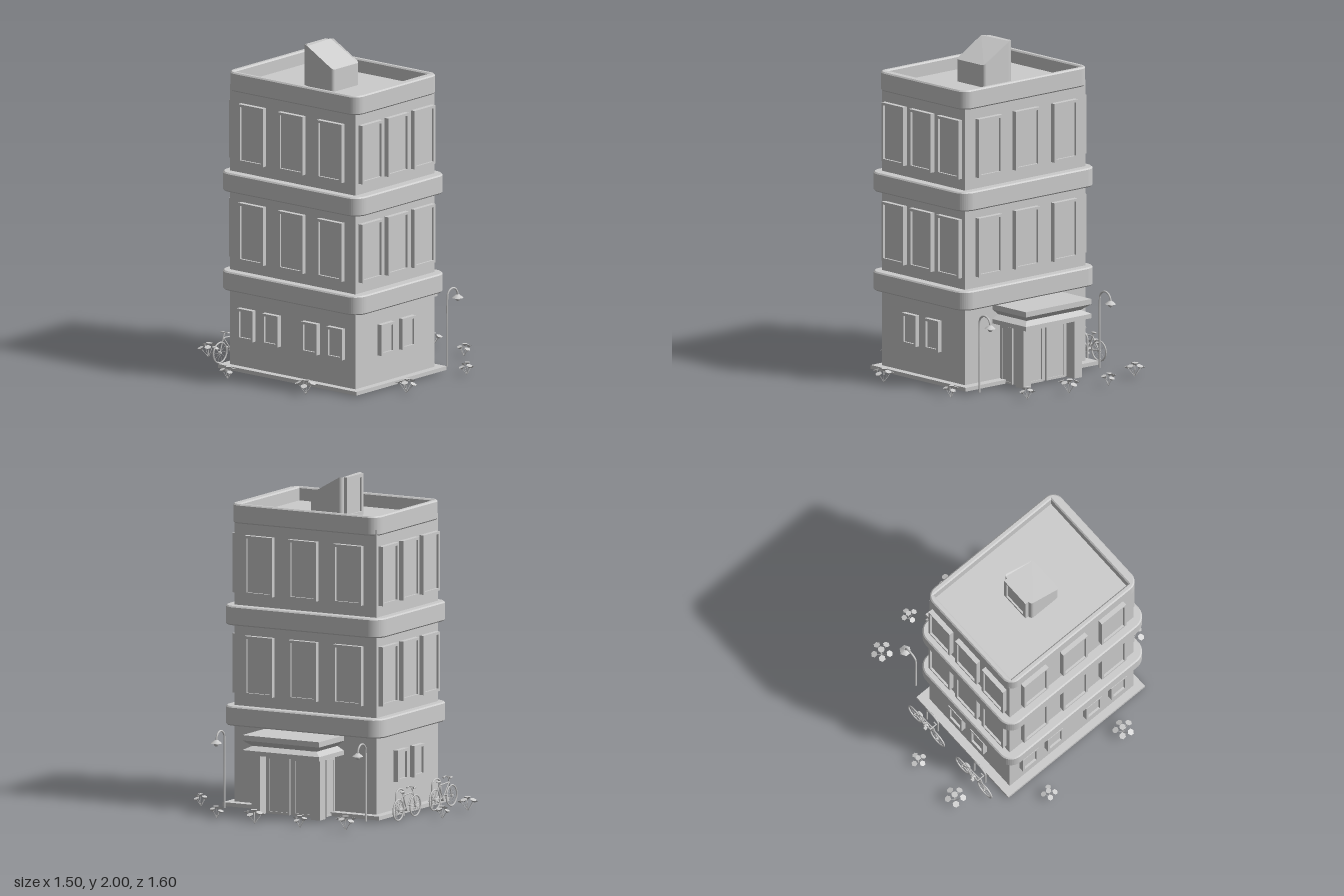
import * as THREE from 'three';

const stone = new THREE.MeshStandardMaterial({ color: 0xcccccc, side: THREE.DoubleSide });
stone.name = 'light grey';

const XL = -0.513, XR = 0.217, ZB = -0.445, ZF = 0.53; // main walls
const V = (x, y, z) => new THREE.Vector3(x, y, z);

function add(parent, name, geo) {
  const mesh = new THREE.Mesh(geo, stone);
  mesh.name = name;
  parent.add(mesh);
  return mesh;
}

// Box given by its limits
function box(parent, name, x0, x1, y0, y1, z0, z1) {
  const g = new THREE.BoxGeometry(x1 - x0, y1 - y0, z1 - z0);
  return add(parent, name, g.translate((x0 + x1) / 2, (y0 + y1) / 2, (z0 + z1) / 2));
}

// Round rod between two points
function rod(parent, name, a, b, r, sides = 6) {
  const g = new THREE.CylinderGeometry(r, r, a.distanceTo(b), sides);
  const m = add(parent, name, g);
  m.position.copy(a).add(b).multiplyScalar(0.5);
  m.quaternion.setFromUnitVectors(V(0, 1, 0), b.clone().sub(a).normalize());
  return m;
}

// Rectangle outline with optional rounded corners
function rect(s, x0, x1, y0, y1, r = 0) {
  if (!r) {
    s.moveTo(x0, y0).lineTo(x1, y0).lineTo(x1, y1).lineTo(x0, y1).lineTo(x0, y0);
    return s;
  }
  s.moveTo(x0 + r, y0).lineTo(x1 - r, y0);
  s.absarc(x1 - r, y0 + r, r, -Math.PI / 2, 0);
  s.absarc(x1 - r, y1 - r, r, 0, Math.PI / 2);
  s.absarc(x0 + r, y1 - r, r, Math.PI / 2, Math.PI);
  s.absarc(x0 + r, y0 + r, r, Math.PI, Math.PI * 1.5);
  return s;
}

// Flat-lying slab or ring, plan limits in x and z, with optional hole and bevel
function slab([x0, x1, z0, z1], y0, y1, { r = 0, hole = null, bevel = 0 } = {}) {
  const b = bevel;
  const s = rect(new THREE.Shape(), x0 + b, x1 - b, -z1 + b, -z0 - b, r);
  if (hole) s.holes.push(rect(new THREE.Path(), hole[0] - b, hole[1] + b, -hole[3] - b, -hole[2] + b));
  const g = new THREE.ExtrudeGeometry(s, {
    depth: y1 - y0 - 2 * b, bevelEnabled: b > 0, bevelSize: b, bevelThickness: b, bevelSegments: 1, curveSegments: 6,
  });
  return g.rotateX(-Math.PI / 2).translate(0, y0 + b, 0);
}

// Framed panel facing +z, lower edge at y = 0
function panel(name, w, h, depth = 0.03, border = 0.016) {
  const group = new THREE.Group();
  group.name = name;
  const s = rect(new THREE.Shape(), -w / 2, w / 2, 0, h);
  s.holes.push(rect(new THREE.Path(), -w / 2 + border, w / 2 - border, border, h - border));
  add(group, 'frame', new THREE.ExtrudeGeometry(s, { depth, bevelEnabled: false }));
  box(group, 'pane', -w / 2 + border, w / 2 - border, border, h - border, 0, depth * 0.55);
  return group;
}

function createBuilding() {
  const g = new THREE.Group();
  g.name = 'building';
  const t = 0.006;
  // Hollow ground storey, plinth and upper walls
  add(g, 'groundWalls', slab([XL, XR, ZB, ZF], 0.015, 0.52, { hole: [XL + t, XR - t, ZB + t, ZF - t] }));
  add(g, 'plinth', slab([-0.56, 0.275, -0.497, 0.577], 0.013, 0.036, { hole: [XL, XR, ZB, ZF] }));
  box(g, 'upperWalls', XL, XR, 0.52, 1.75, ZB, ZF);
  // Rounded bands between storeys and hollow parapet
  for (const y of [0.5, 1.105]) {
    add(g, 'storeyBand', slab([-0.571, 0.275, -0.497, 0.593], y, y + 0.117, { r: 0.08, bevel: 0.008 }));
  }
  add(g, 'parapet', slab([-0.534, 0.238, -0.46, 0.555], 1.715, 1.832,
    { r: 0.06, bevel: 0.008, hole: [-0.5, 0.204, -0.424, 0.5] }));

  // Windows on a chosen wall, u runs along the wall
  const walls = {
    front: (u) => [u, ZF, 0], back: (u) => [u, ZB, Math.PI],
    left: (u) => [XR, u, Math.PI / 2], right: (u) => [XL, u, -Math.PI / 2],
  };
  const addWindow = (wall, u, y, w, h) => {
    const win = panel(wall + 'Window', w, h);
    const [x, z, turn] = walls[wall](u);
    win.position.set(x, y, z);
    win.rotation.y = turn;
    g.add(win);
  };
  for (const wall of Object.keys(walls)) {
    const along = wall === 'front' || wall === 'back';
    const big = along ? [-0.389, -0.148, 0.095] : [-0.26, 0.048, 0.35];
    for (const u of big) for (const y of [0.685, 1.29]) addWindow(wall, u, y, 0.192, 0.358);
    const small = along ? [-0.246, -0.05] : wall === 'right' ? [-0.305, -0.11, 0.194, 0.389] : [];
    for (const u of small) addWindow(wall, u, 0.205, 0.122, 0.19);
  }

  // Roof hut: rounded block whose top slopes down to the front
  const hut = slab([-0.27, -0.026, -0.066, 0.152], 1.75, 2, { r: 0.02 });
  const p = hut.attributes.position;
  for (let i = 0; i < p.count; i++) {
    if (p.getY(i) > 1.9) p.setY(i, Math.min(2, 1.885 + (0.152 - p.getZ(i)) * 0.575));
  }
  hut.computeVertexNormals();
  add(g, 'roofHut', hut);
  const door = panel('hutDoor', 0.195, 0.25, 0.024, 0.022);
  door.position.set(-0.148, 1.75, -0.065);
  door.rotation.y = Math.PI;
  g.add(door);
  return g;
}

function createPorch() {
  const g = new THREE.Group();
  g.name = 'porch';
  const z0 = -0.222, z1 = 0.307, x1 = 0.51;
  // Stepped roof: slab, slope inwards, slope outwards, slab
  const slope = (name, y0, y1, wideTop) => {
    const m = box(g, name, XR, x1, y0, y1, z0, z1);
    const p = m.geometry.attributes.position, mid = (y0 + y1) / 2;
    for (let i = 0; i < p.count; i++) {
      if ((p.getY(i) > mid) === wideTop) continue;
      if (p.getX(i) > 0.4) p.setX(i, x1 - 0.045);
      p.setZ(i, p.getZ(i) > 0.04 ? z1 - 0.045 : z0 + 0.045);
    }
    m.geometry.computeVertexNormals();
  };
  box(g, 'roofSlab', XR, x1, 0.463, 0.495, z0, z1);
  slope('roofCove', 0.428, 0.463, true);
  slope('corniceSlope', 0.405, 0.428, false);
  box(g, 'corniceSlab', XR, x1, 0.378, 0.405, z0, z1);
  // Entrance box, doors, side lights and pillars
  box(g, 'entrance', XR, 0.375, 0.015, 0.378, -0.16, 0.245);
  for (const z of [0.128, -0.047]) {
    const door = panel('entranceDoor', 0.15, 0.345, 0.014, 0.014);
    door.position.set(0.375, 0.015, z);
    door.rotation.y = Math.PI / 2;
    g.add(door);
  }
  for (const [z, turn] of [[0.245, 0], [-0.16, Math.PI]]) {
    const light = panel('sideLight', 0.1, 0.345, 0.01, 0.012);
    light.position.set(0.282, 0.015, z);
    light.rotation.y = turn;
    g.add(light);
  }
  box(g, 'frontPillar', 0.385, 0.455, 0.013, 0.378, 0.215, 0.275);
  box(g, 'backPillar', 0.385, 0.455, 0.013, 0.378, -0.195, -0.135);
  return g;
}

// Street lamp with a curved neck and hexagonal hood
function createLamp(z) {
  const g = new THREE.Group();
  g.name = 'streetLamp';
  const pts = [V(0.34, 0.013, 0), V(0.34, 0.22, 0), V(0.34, 0.42, 0)];
  for (let i = 1; i <= 8; i++) {
    const a = Math.PI * (1 - i / 8);
    pts.push(V(0.388 + 0.048 * Math.cos(a), 0.435 + 0.05 * Math.sin(a), 0));
  }
  add(g, 'pole', new THREE.TubeGeometry(new THREE.CatmullRomCurve3(pts), 40, 0.006, 6));
  add(g, 'hood', new THREE.CylinderGeometry(0.01, 0.036, 0.02, 6).translate(0.436, 0.427, 0));
  add(g, 'bulb', new THREE.SphereGeometry(0.016, 8, 6).translate(0.436, 0.413, 0));
  g.position.z = z;
  return g;
}

// Bicycle along x, handlebar towards -x
function createBicycle(x) {
  const g = new THREE.Group();
  g.name = 'bicycle';
  const r = 0.062, rear = V(0.1, 0.07, 0), fork = V(-0.1, 0.07, 0);
  for (const c of [rear, fork]) {
    add(g, 'tyre', new THREE.TorusGeometry(r, 0.005, 6, 20).translate(c.x, c.y, 0));
    rod(g, 'hub', V(c.x, c.y, -0.01), V(c.x, c.y, 0.01), 0.008);
    for (let i = 0; i < 5; i++) {
      const d = V(Math.cos(i * Math.PI / 5), Math.sin(i * Math.PI / 5), 0).multiplyScalar(r);
      rod(g, 'spoke', c.clone().sub(d), c.clone().add(d), 0.0012, 3);
    }
  }
  const crank = V(0.005, 0.065, 0), seat = V(0.045, 0.15, 0), head = V(-0.068, 0.155, 0), bar = V(-0.058, 0.187, 0);
  for (const [a, b] of [[crank, seat], [crank, head], [seat, head], [rear, crank], [rear, seat], [fork, bar]]) {
    rod(g, 'frameTube', a, b, 0.004);
  }
  rod(g, 'seatPost', seat, V(0.053, 0.17, 0), 0.003);
  add(g, 'saddle', new THREE.SphereGeometry(1, 8, 6).scale(0.024, 0.006, 0.01).translate(0.056, 0.172, 0));
  rod(g, 'handlebar', V(-0.062, 0.188, -0.025), V(-0.062, 0.188, 0.025), 0.004);
  for (const s of [-1, 1]) {
    rod(g, 'grip', V(-0.064, 0.188, s * 0.023), V(-0.04, 0.183, s * 0.023), 0.005);
    rod(g, 'crankArm', V(0.005, 0.065, s * 0.01), V(0.005 + s * 0.015, 0.065 - s * 0.02, s * 0.01), 0.003);
    box(g, 'pedal', -0.005 + s * 0.015, 0.015 + s * 0.015, 0.042 - s * 0.02 + 0.02, 0.068 - s * 0.02, s * 0.018 - 0.008, s * 0.018 + 0.008);
  }
  rod(g, 'chainring', V(0.005, 0.065, -0.012), V(0.005, 0.065, 0.012), 0.014, 10);
  g.position.set(x, 0, -0.58);
  return g;
}

// Hoop stand beside each bicycle
function createStand(x) {
  const pts = [V(-0.05, 0.01, 0), V(-0.05, 0.1, 0), V(-0.045, 0.16, 0), V(0, 0.18, 0), V(0.045, 0.16, 0), V(0.05, 0.1, 0), V(0.05, 0.01, 0)];
  const m = new THREE.Mesh(new THREE.TubeGeometry(new THREE.CatmullRomCurve3(pts), 28, 0.006, 6), stone);
  m.name = 'bicycleStand';
  m.position.set(x, 0, -0.532);
  return m;
}

// Clump of open six-sided blossoms on splayed stems
function createFlowers(x, z, large, turn) {
  const g = new THREE.Group();
  g.name = 'flowerClump';
  const count = large ? 5 : 4, spread = large ? 0.045 : 0.032, top = large ? 0.068 : 0.058;
  for (let i = 0; i <= count; i++) {
    const a = i * Math.PI * 2 / count + turn;
    const tip = i === count ? V(0.006, top + 0.012, 0) : V(Math.cos(a) * spread, top - (i % 2) * 0.012, Math.sin(a) * spread);
    rod(g, 'stem', V(0, 0.003, 0), tip, 0.002, 4);
    const cup = add(g, 'blossom', new THREE.CylinderGeometry(large ? 0.021 : 0.018, 0.003, 0.016, 6).toNonIndexed());
    cup.geometry.computeVertexNormals();
    cup.position.copy(tip);
    cup.quaternion.setFromUnitVectors(V(0, 1, 0), V(tip.x * 0.6, tip.y, tip.z * 0.6).normalize());
  }
  g.position.set(x, 0, z);
  return g;
}

export function createModel() {
  const model = new THREE.Group();
  model.name = 'officeBuilding';
  model.add(createBuilding(), createPorch(), createLamp(-0.445), createLamp(0.527));
  for (const x of [-0.343, 0.087]) model.add(createBicycle(x), createStand(x));
  const large = [[-0.36, -0.74], [0.62, -0.47], [0.685, 0.12], [-0.28, 0.73], [-0.69, 0.295]];
  const small = [[-0.04, -0.75], [0.69, -0.195], [0.635, 0.41], [0.295, 0.715], [-0.705, -0.3]];
  large.forEach(([x, z], i) => model.add(createFlowers(x, z, true, i * 1.3)));
  small.forEach(([x, z], i) => model.add(createFlowers(x, z, false, i * 1.7)));
  return model;
}
